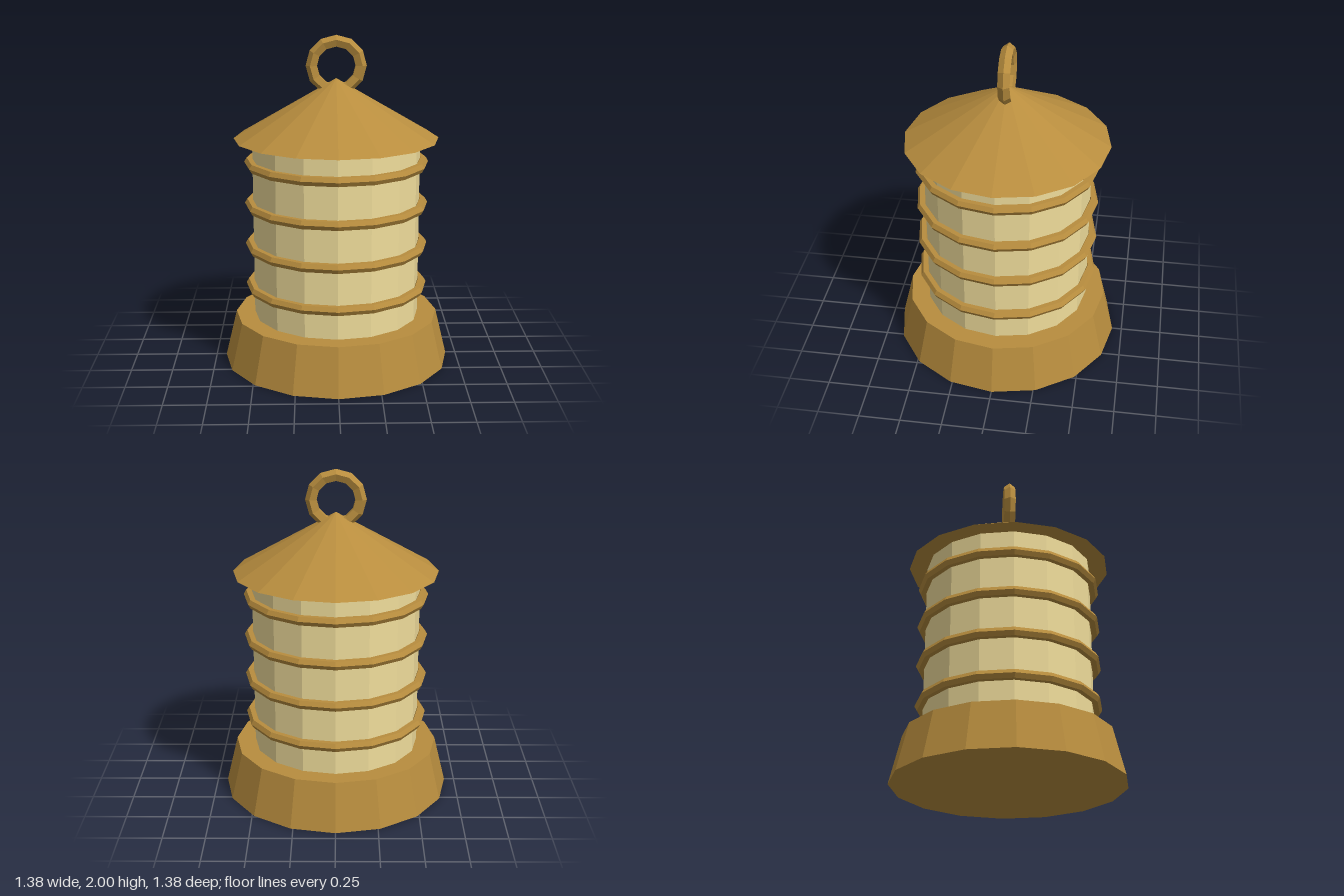
import * as THREE from 'three';

const SIDES = 16;

export function createModel() {
  const group = new THREE.Group();
  const brass = new THREE.MeshStandardMaterial({ color: 0xb88d3e, flatShading: true });
  const glass = new THREE.MeshStandardMaterial({ color: 0xf0dd9b, flatShading: true });

  const add = (name, geometry, material, y) => {
    const mesh = new THREE.Mesh(geometry, material);
    mesh.name = name;
    mesh.position.y = y;
    group.add(mesh);
    return mesh;
  };

  // Tapered foot
  add('base', new THREE.CylinderGeometry(0.62, 0.69, 0.29, SIDES), brass, 0.145);

  // Pale lamp body between foot and roof
  add('lampBody', new THREE.CylinderGeometry(0.505, 0.505, 1.1, SIDES), glass, 0.84);

  // Four evenly spaced guard rings
  for (let i = 0; i < 4; i++) {
    const ring = add(`guardRing${i + 1}`, new THREE.TorusGeometry(0.525, 0.03, 6, SIDES), brass, 0.475 + i * 0.255);
    ring.rotation.x = Math.PI / 2;
  }

  // Conical roof
  add('roof', new THREE.ConeGeometry(0.615, 0.36, SIDES), brass, 1.565);

  // Upright carrying ring, its lower part sunk into the roof
  add('handleRing', new THREE.TorusGeometry(0.144, 0.037, 5, 12), brass, 1.819);

  return group;
}
